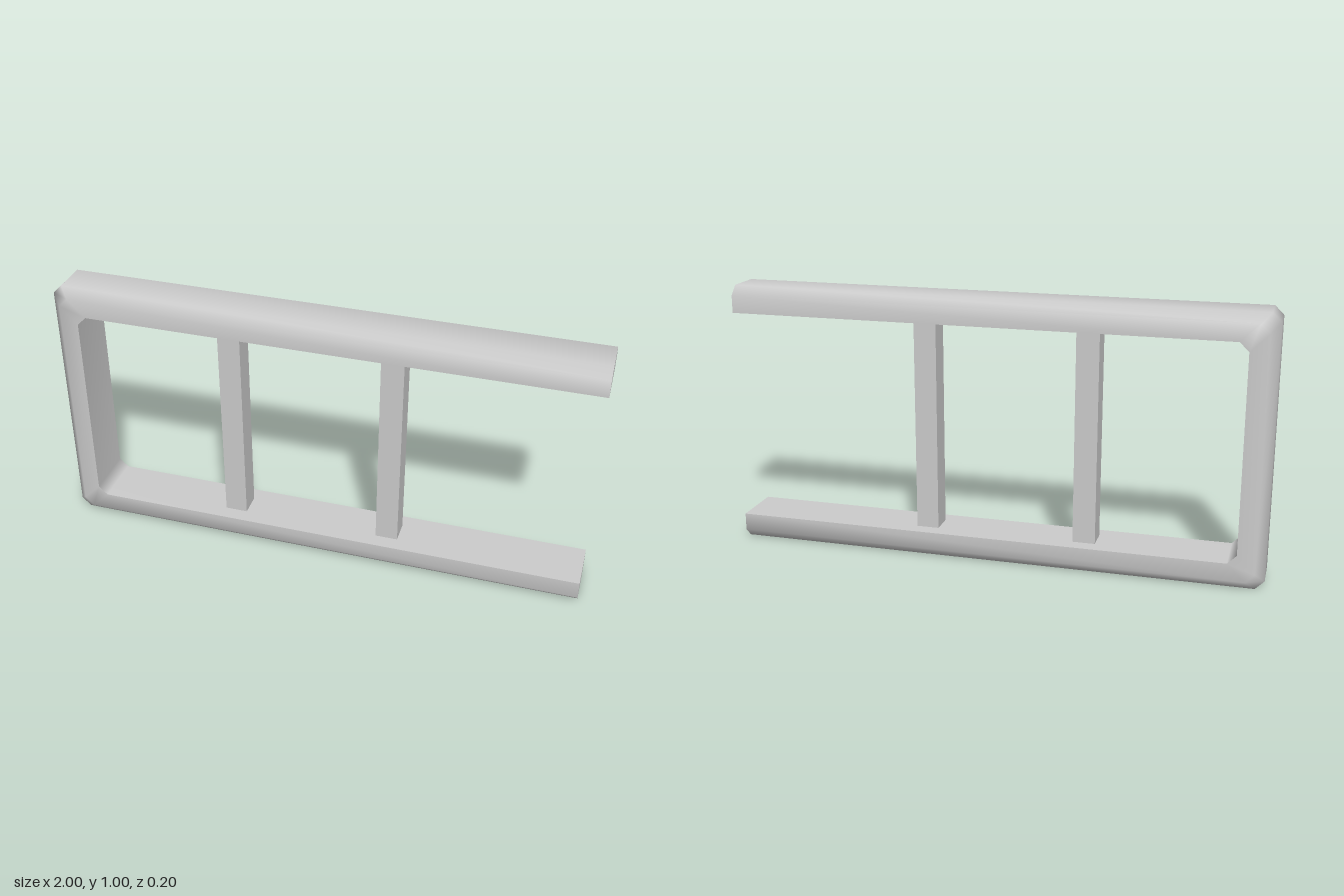
import * as THREE from 'three';
import { mergeGeometries } from 'three/addons/utils/BufferGeometryUtils.js';

// Rail cross-section as [z, depth below the outer face]
const OUTER = [[0.1, 0.1], [0.1, 0.034], [0.066, 0], [-0.066, 0], [-0.1, 0.034], [-0.1, 0.1]];
const INNER = [[-0.1, 0.1], [0.1, 0.1]];
const CUT = 0.033; // bevel at the frame corners

// Stations along the U: each maps a depth to [x, y]
const STATIONS = [
  d => [1, 1 - d],
  d => [-1 + d + CUT, 1 - d],
  d => [-1 + d, 1 - d - CUT],
  d => [-1 + d, d + CUT],
  d => [-1 + d + CUT, d],
  d => [1, d],
];

function build(points, index) {
  const geometry = new THREE.BufferGeometry();
  geometry.setAttribute('position', new THREE.Float32BufferAttribute(points.flat(), 3));
  geometry.setIndex(index);
  geometry.computeVertexNormals();
  return geometry;
}

function place(profile, station) {
  return profile.map(([z, d]) => [...station(d), z]);
}

// Sweep an open profile through all stations, smooth within the strip
function sweep(profile) {
  const n = profile.length;
  const points = STATIONS.flatMap(station => place(profile, station));
  const index = [];
  for (let s = 0; s < STATIONS.length - 1; s++) {
    for (let i = 0; i < n - 1; i++) {
      const a = s * n + i;
      index.push(a, a + 1, a + n + 1, a, a + n + 1, a + n);
    }
  }
  return build(points, index);
}

// Flat end of a rail
function cap(station, reverse) {
  const points = place(OUTER, station);
  if (reverse) points.reverse();
  const index = [];
  for (let i = 1; i < points.length - 1; i++) index.push(0, i, i + 1);
  return build(points, index);
}

export function createModel() {
  const model = new THREE.Group();
  model.name = 'openFrame';
  const material = new THREE.MeshStandardMaterial({ color: 0xcccccc });

  // U-shaped frame with a rounded outside and flat inside
  const frame = new THREE.Mesh(mergeGeometries([
    sweep(OUTER),
    sweep(INNER),
    cap(STATIONS[0], true),
    cap(STATIONS[5], false),
  ]), material);
  frame.name = 'frame';
  model.add(frame);

  // Two square uprights between the rails
  const barGeometry = new THREE.BoxGeometry(0.084, 0.8, 0.088);
  [-0.34, 0.264].forEach((x, i) => {
    const bar = new THREE.Mesh(barGeometry, material);
    bar.name = i === 0 ? 'rightUpright' : 'leftUpright';
    bar.position.set(x, 0.5, 0);
    model.add(bar);
  });

  return model;
}
